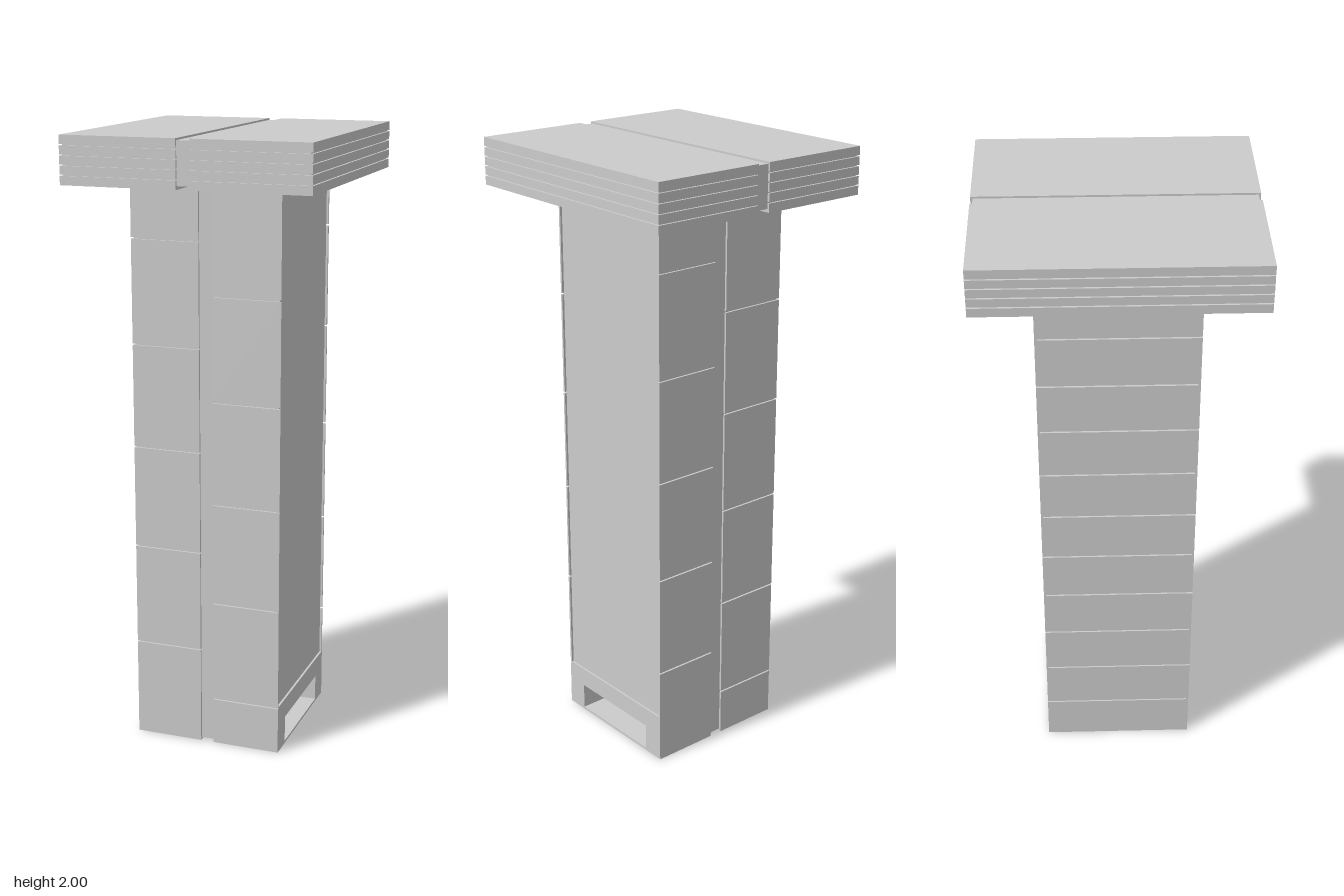
import * as THREE from 'three';

const W = 0.247;      // half width of the column
const D = 0.007;      // joint depth / cladding thickness
const I = W - D;      // half width of the inner core
const G = 0.022;      // half width of the central groove
const TOP = 1.85;     // column height, underside of the cap
const GAP = 0.005;    // joint width
const COURSE = 0.1685;
const SEAM = 0.155;   // height of the first joint

export function createModel() {
  const model = new THREE.Group();
  const material = new THREE.MeshStandardMaterial({ color: 0xcccccc, flatShading: true });

  const group = (name) => {
    const g = new THREE.Group();
    g.name = name;
    model.add(g);
    return g;
  };
  // Box given by its two extremes on each axis
  const block = (parent, name, [x0, x1], [y0, y1], [z0, z1]) => {
    const mesh = new THREE.Mesh(
      new THREE.BoxGeometry(Math.abs(x1 - x0), y1 - y0, Math.abs(z1 - z0)), material);
    mesh.position.set((x0 + x1) / 2, (y0 + y1) / 2, (z0 + z1) / 2);
    mesh.name = name;
    parent.add(mesh);
  };
  // Height ranges of the blocks between joints
  const courses = (first, step) => {
    const ranges = [];
    let bottom = 0;
    for (let k = first; k < 10; k += step) {
      const y = SEAM + k * COURSE;
      ranges.push([bottom, y]);
      bottom = y + GAP;
    }
    ranges.push([bottom, TOP]);
    return ranges;
  };

  // Inner core, hollowed at the base behind the opening
  const core = group('columnCore');
  const holeZ = 0.172, holeTop = 0.095, holeBack = 0.12, floor = 0.008;
  block(core, 'shaft', [-I, I], [holeTop, TOP], [-I, I]);
  block(core, 'baseRear', [-I, holeBack], [floor, holeTop], [-I, I]);
  for (const s of [-1, 1]) {
    block(core, 'baseCheek', [holeBack, I], [floor, holeTop], [s * holeZ, s * I]);
    block(core, 'cavityRib', [holeBack, holeBack + 0.02], [floor, holeTop], [s * 0.055, s * 0.065]);
    block(core, 'footPlate', [s * G, s * I], [0, floor], [-I, I]);
  }
  block(core, 'cavityFloor', [holeBack, I], [0.006, floor], [-holeZ, holeZ]);

  // Front and back blocks, with joints staggered between the halves
  const faces = group('frontAndBackBlocks');
  for (const sx of [-1, 1]) {
    for (const sz of [-1, 1]) {
      for (const range of courses(sx === sz ? 0 : 1, 2)) {
        block(faces, 'faceBlock', [sx * G, sx * W], range, [sz * I, sz * W]);
      }
    }
  }

  // Right side (-x): a joint at every course
  const side = group('rightSideBlocks');
  for (const range of courses(0, 1)) block(side, 'sideBlock', [-W, -I], range, [-I, I]);

  // Left side (+x): base fascia with an opening, below a recessed panel
  const fascia = new THREE.Shape();
  fascia.moveTo(-I, 0).lineTo(I, 0).lineTo(I, 0.16).lineTo(-I, 0.16).closePath();
  const opening = new THREE.Path();
  opening.moveTo(-holeZ, floor).lineTo(-holeZ, holeTop).lineTo(holeZ, holeTop)
    .lineTo(holeZ, floor).closePath();
  fascia.holes.push(opening);
  const fasciaMesh = new THREE.Mesh(
    new THREE.ExtrudeGeometry(fascia, { depth: D, bevelEnabled: false }), material);
  fasciaMesh.rotation.y = Math.PI / 2;
  fasciaMesh.position.x = I;
  fasciaMesh.name = 'baseFascia';
  model.add(fasciaMesh);
  block(model, 'panelTopRim', [I, W], [1.845, TOP], [-I, I]);

  // Cap: layered slabs on both sides of a grooved core
  const cap = group('cap');
  const capX = 0.397, capZ = 0.427, layers = 5;
  block(cap, 'capCore', [-capX + D, capX - D], [1.861, 1.994], [-capZ + D, capZ - D]);
  const h = (2 - TOP) / layers;
  for (const s of [-1, 1]) {
    for (let i = 0; i < layers; i++) {
      const y0 = TOP + i * h + (i > 0 ? 0.002 : 0);
      const y1 = TOP + (i + 1) * h - (i < layers - 1 ? 0.002 : 0);
      block(cap, 'capSlab', [s * G, s * capX], [y0, y1], [-capZ, capZ]);
    }
  }
  // Column strip carried up into the cap groove
  block(core, 'neck', [-G, G], [TOP, 1.861], [-I, I]);

  return model;
}
